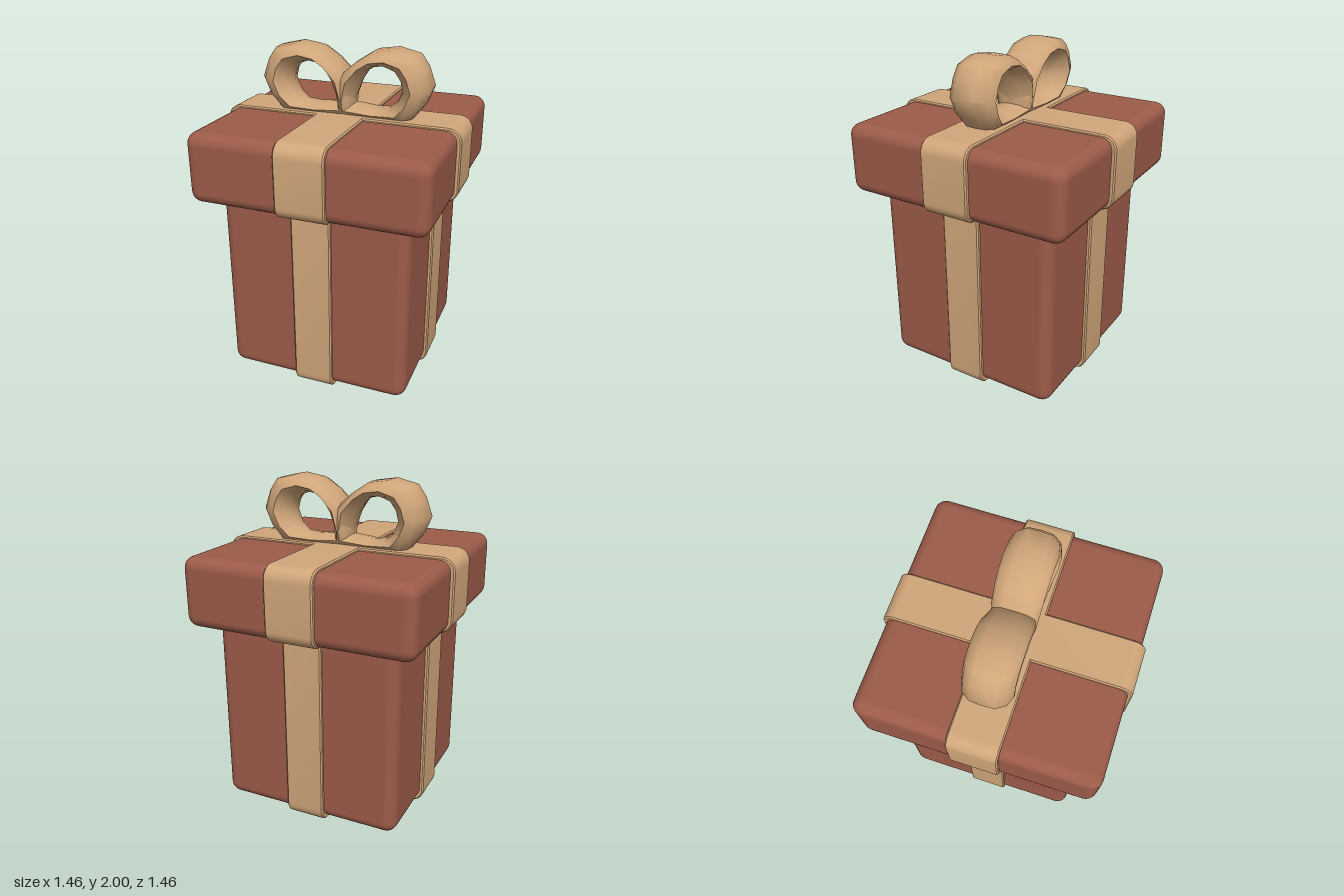
import * as THREE from 'three';
import { toCreasedNormals } from 'three/addons/utils/BufferGeometryUtils.js';
import { RoundedBoxGeometry } from 'three/addons/geometries/RoundedBoxGeometry.js';

const paper = new THREE.MeshStandardMaterial({ color: 0x9c5b49 });
const satin = new THREE.MeshStandardMaterial({ color: 0xd1a67a });

function addMesh(parent, name, geometry, material) {
  const mesh = new THREE.Mesh(geometry, material);
  mesh.name = name;
  parent.add(mesh);
  return mesh;
}

// Rounded block standing between two heights
function block(half, y0, y1, radius) {
  return new RoundedBoxGeometry(half * 2, y1 - y0, half * 2, 4, radius).translate(0, (y0 + y1) / 2, 0);
}

function roundedRect(path, half, y0, y1, r) {
  path.moveTo(half - r, y0);
  path.absarc(half - r, y0 + r, r, -Math.PI / 2, 0);
  path.absarc(half - r, y1 - r, r, 0, Math.PI / 2);
  path.absarc(-half + r, y1 - r, r, Math.PI / 2, Math.PI);
  path.absarc(-half + r, y0 + r, r, Math.PI, Math.PI * 1.5);
  path.closePath();
  return path;
}

// Flat band wrapped around a block, in the xy plane
function band(half, y0, y1, radius, width) {
  const shape = roundedRect(new THREE.Shape(), half, y0, y1, radius);
  const t = 0.05;
  shape.holes.push(roundedRect(new THREE.Path(), half - t, y0 + t, y1 - t, radius - t / 2));
  const bevel = 0.008;
  const geometry = new THREE.ExtrudeGeometry(shape, {
    depth: width - bevel * 2, curveSegments: 5,
    bevelEnabled: true, bevelThickness: bevel, bevelSize: bevel, bevelOffset: -bevel, bevelSegments: 1,
  });
  geometry.translate(0, 0, -width / 2 + bevel);
  return toCreasedNormals(geometry, 0.6);
}

// One bow loop: stations of [outer x, outer y, inner x, inner y, half width]
function bowLoop() {
  const stations = [
    [-0.04, 1.60, 0.05, 1.66, 0.115],
    [-0.05, 1.70, 0.05, 1.685, 0.125],
    [-0.04, 1.82, 0.09, 1.79, 0.135],
    [0.07, 1.915, 0.13, 1.86, 0.138],
    [0.17, 1.98, 0.17, 1.885, 0.14],
    [0.30, 2.00, 0.23, 1.895, 0.142],
    [0.43, 1.97, 0.295, 1.87, 0.142],
    [0.48, 1.90, 0.33, 1.82, 0.142],
    [0.52, 1.79, 0.342, 1.765, 0.142],
    [0.48, 1.69, 0.31, 1.69, 0.135],
    [0.41, 1.60, 0.26, 1.65, 0.12],
    [0.18, 1.59, 0.18, 1.645, 0.112],
  ];
  // Section as [inner-to-outer fraction, fraction of half width]
  const section = [
    [1, 0], [0.97, 0.5], [0.78, 0.85], [0.45, 1], [0.1, 0.5],
    [0, 0], [0.1, -0.5], [0.45, -1], [0.78, -0.85], [0.97, -0.5],
  ];
  const positions = [], index = [];
  const n = stations.length, m = section.length;
  stations.forEach(([ox, oy, ix, iy, w], i) => {
    section.forEach(([t, s], k) => {
      positions.push(ix + (ox - ix) * t, iy + (oy - iy) * t, s * w);
      const a = i * m + k, b = i * m + (k + 1) % m;
      const c = ((i + 1) % n) * m + k, d = ((i + 1) % n) * m + (k + 1) % m;
      index.push(a, b, c, b, d, c);
    });
  });
  const geometry = new THREE.BufferGeometry();
  geometry.setAttribute('position', new THREE.Float32BufferAttribute(positions, 3));
  geometry.setIndex(index);
  return toCreasedNormals(geometry, 0.85);
}

export function createModel() {
  const gift = new THREE.Group();
  gift.name = 'giftBox';

  addMesh(gift, 'box', block(0.57, 0.025, 1.25, 0.07), paper);
  addMesh(gift, 'lid', block(0.705, 1.175, 1.595, 0.07), paper);

  // Crossed ribbons on the box and on the lid
  const boxBand = band(0.592, 0, 1.27, 0.08, 0.24);
  const lidBand = band(0.73, 1.168, 1.61, 0.08, 0.295);
  for (const [suffix, angle] of [['Across', 0], ['FrontToBack', Math.PI / 2]]) {
    addMesh(gift, 'boxRibbon' + suffix, boxBand, satin).rotation.y = angle;
    addMesh(gift, 'lidRibbon' + suffix, lidBand, satin).rotation.y = angle;
  }

  // Bow of two loops
  const bow = new THREE.Group();
  bow.name = 'bow';
  const loop = bowLoop();
  addMesh(bow, 'leftBowLoop', loop, satin);
  addMesh(bow, 'rightBowLoop', loop, satin).rotation.y = Math.PI;
  gift.add(bow);

  return gift;
}
